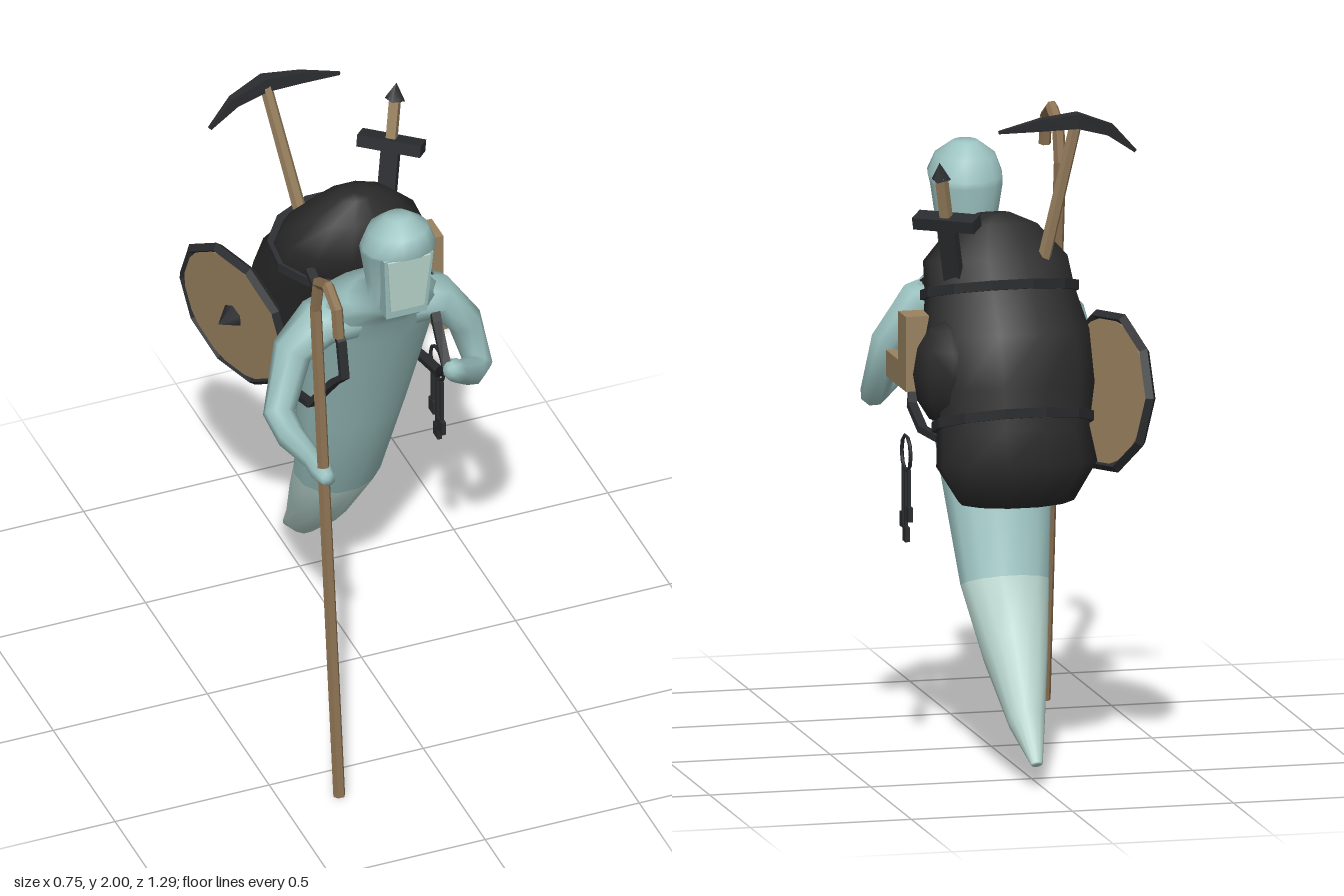
import * as THREE from 'three';

const mat = (name, color) => {
  const m = new THREE.MeshStandardMaterial({ color });
  m.name = name;
  return m;
};
const V = (x, y, z) => new THREE.Vector3(x, y, z);
const CX = 0.018; // centre line of body and pack

// Skin a list of rings {c, u, v} with n sides and closed ends.
function loft(rings, n, flat = false, phase = 0) {
  const pos = [], idx = [];
  for (const { c, u, v } of rings) {
    for (let j = 0; j < n; j++) {
      const a = (j / n) * Math.PI * 2 + phase;
      const p = c.clone().addScaledVector(u, Math.cos(a)).addScaledVector(v, Math.sin(a));
      pos.push(p.x, p.y, p.z);
    }
  }
  const last = rings.length - 1, lo = rings.length * n, hi = lo + 1;
  pos.push(...rings[0].c.toArray(), ...rings[last].c.toArray());
  for (let j = 0; j < n; j++) idx.push(lo, (j + 1) % n, j);
  for (let i = 0; i < last; i++) {
    for (let j = 0; j < n; j++) {
      const a = i * n + j, b = i * n + ((j + 1) % n);
      idx.push(a, b, b + n, a, b + n, a + n);
    }
  }
  for (let j = 0; j < n; j++) idx.push(hi, last * n + j, last * n + ((j + 1) % n));
  let g = new THREE.BufferGeometry();
  g.setAttribute('position', new THREE.Float32BufferAttribute(pos, 3));
  g.setIndex(idx);
  if (flat) g = g.toNonIndexed();
  g.computeVertexNormals();
  return g;
}

// Ring given by its front point, back point and half width.
const section = ([fz, fy, bz, by, rx], grow = 0, lift = 0) => {
  const v = V(0, (by - fy) / 2, (bz - fz) / 2);
  v.setLength(v.length() + grow);
  return { c: V(CX, (fy + by) / 2 + lift, (fz + bz) / 2), u: V(rx + grow, 0, 0), v };
};

// Sweep along points; each point is [x, y, z, halfWidth, halfThickness].
function sweep(pts, n, ref, flat = false, phase = 0) {
  let u = ref.clone();
  const p = pts.map(q => V(q[0], q[1], q[2]));
  const rings = pts.map((q, i) => {
    const t = V(0, 0, 0);
    if (i > 0) t.add(p[i].clone().sub(p[i - 1]).normalize());
    if (i < p.length - 1) t.add(p[i + 1].clone().sub(p[i]).normalize());
    t.normalize();
    u = u.clone().addScaledVector(t, -u.dot(t)).normalize();
    const w = t.clone().cross(u);
    return { c: p[i], u: u.clone().multiplyScalar(q[3]), v: w.multiplyScalar(q[4] ?? q[3]) };
  });
  return loft(rings, n, flat, phase);
}

export function createModel() {
  const root = new THREE.Group();
  const skin = mat('teal', 0x9cc3c1), pale = mat('paleTeal', 0xbbd8d0);
  const cloth = mat('packCloth', 0x2a2a2a), metal = mat('darkMetal', 0x2b2c2f);
  const wood = mat('wood', 0x9a8260), staffWood = mat('staffWood', 0x8c7252);
  const add = (name, geo, m, parent = root) => {
    const mesh = new THREE.Mesh(geo, m);
    mesh.name = name;
    parent.add(mesh);
    return mesh;
  };
  const box = (w, h, d, x = 0, y = 0, z = 0) => new THREE.BoxGeometry(w, h, d).translate(x, y, z);

  // Body from tail tip to crown, with a pale tail
  const N = 14;
  const body = loft([
    [-0.625, 0.06, -0.645, 0.08, 0.018], [-0.48, 0.13, -0.545, 0.225, 0.056],
    [-0.31, 0.285, -0.435, 0.44, 0.1], [-0.15, 0.51, -0.33, 0.59, 0.138],
    [-0.02, 0.84, -0.25, 0.89, 0.172], [0.06, 1.05, -0.17, 1.12, 0.19],
    [0.15, 1.27, -0.08, 1.34, 0.2], [0.19, 1.365, -0.01, 1.45, 0.205],
    [0.23, 1.425, 0.07, 1.485, 0.125], [0.3, 1.49, 0.15, 1.53, 0.084],
    [0.32, 1.58, 0.145, 1.6, 0.098], [0.33, 1.7, 0.135, 1.68, 0.113],
    [0.372, 1.73, 0.135, 1.7, 0.115], [0.34, 1.78, 0.16, 1.765, 0.093],
    [0.285, 1.815, 0.21, 1.81, 0.04],
  ].map(s => section(s)), N);
  const tailCount = 3 * N + 3 * 6 * N;
  body.addGroup(0, tailCount, 1);
  body.addGroup(tailCount, body.index.count - tailCount, 0);
  add('body', body, [skin, pale]);

  // Face plate set in a hood rim beneath the brow
  const plate = (top, bottom, y0, y1, depth) => new THREE.ExtrudeGeometry(new THREE.Shape([
    new THREE.Vector2(-bottom, y0), new THREE.Vector2(bottom, y0),
    new THREE.Vector2(top, y1), new THREE.Vector2(-top, y1),
  ]), { depth, bevelEnabled: false });
  const face = new THREE.Group();
  face.name = 'face';
  face.position.set(CX, 1.62, 0.331);
  face.rotation.x = 0.08;
  root.add(face);
  add('hoodRim', plate(0.08, 0.066, -0.13, 0.098, 0.065).translate(0, 0, -0.065), skin, face);
  add('facePlate', plate(0.07, 0.054, -0.1, 0.094, 0.006), pale, face);

  // Arms
  add('rightArm', sweep([
    [-0.07, 1.375, 0.085, 0.095, 0.085], [-0.175, 1.355, 0.085, 0.088, 0.07],
    [-0.265, 1.285, 0.1, 0.066, 0.06], [-0.333, 1.115, 0.165, 0.05],
    [-0.33, 1.085, 0.26, 0.044], [-0.325, 1.11, 0.43, 0.031],
    [-0.325, 1.115, 0.49, 0.036], [-0.325, 1.12, 0.545, 0.022],
  ], 8, V(0, 0, 1)), skin);
  add('leftArm', sweep([
    [0.1, 1.375, 0.085, 0.095, 0.085], [0.21, 1.355, 0.085, 0.085, 0.068],
    [0.298, 1.24, 0.09, 0.06, 0.054], [0.335, 1.08, 0.11, 0.044], [0.285, 1.11, 0.175, 0.046],
    [0.215, 1.175, 0.25, 0.034], [0.19, 1.205, 0.27, 0.036], [0.17, 1.22, 0.285, 0.022],
  ], 8, V(0, 0, 1)), skin);

  // Backpack with a bulging left side, and the bands tied around it
  add('backpack', loft([
    [-0.285, 0.835, -0.475, 0.825, 0.18], [-0.225, 0.92, -0.55, 0.97, 0.248],
    [-0.19, 1.02, -0.495, 1.07, 0.235], [-0.14, 1.15, -0.505, 1.2, 0.255],
    [-0.065, 1.3, -0.445, 1.35, 0.255], [-0.02, 1.39, -0.33, 1.48, 0.23],
    [0.03, 1.5, -0.275, 1.55, 0.222], [-0.01, 1.6, -0.185, 1.64, 0.135],
    [-0.06, 1.655, -0.14, 1.665, 0.05],
  ].map(s => section(s)), 12, false, Math.PI / 12), cloth);
  add('sideBulge', new THREE.SphereGeometry(1, 8, 6).scale(0.1, 0.16, 0.11).translate(0.222, 1.22, -0.315), cloth);
  for (const s of [[-0.02, 1.39, -0.335, 1.485, 0.232], [-0.185, 1.01, -0.49, 1.12, 0.238]]) {
    add('packBand', loft([section(s, 0.012, -0.015), section(s, 0.012, 0.015)], 12, true, Math.PI / 12), metal);
  }

  // Shoulder straps; the left one swings further out from the chest
  for (const [s, z1, z2, z3] of [[1, 0.185, 0.265, 0.21], [-1, 0.17, 0.195, 0.15]]) {
    add('shoulderStrap', sweep([
      [0.17, 1.46, -0.04], [0.17, 1.415, 0.08], [0.152, 1.33, z1], [0.152, 1.215, z2],
      [0.165, 1.17, z3], [0.21, 1.045, 0.07], [0.215, 1.0, -0.08], [0.18, 0.99, -0.26],
    ].map(([x, y, z]) => [CX + s * x, y, z, 0.02, 0.014]), 4, V(1, 0, 0), true, Math.PI / 4), metal);
  }

  // Walking staff with a crook
  add('staff', sweep([
    [0, 0.63], [1.69, 0.44], [1.8, 0.462], [1.84, 0.54], [1.8, 0.612], [1.71, 0.627],
  ].map(([y, z]) => [-0.325, y, z, 0.019]), 6, V(1, 0, 0), true), staffWood);

  // Round shield on the right side
  const shield = new THREE.Group();
  shield.name = 'shield';
  shield.position.set(-0.28, 1.14, -0.32);
  shield.quaternion.setFromUnitVectors(V(0, 0, 1), V(-0.94, -0.1, 0.33).normalize());
  root.add(shield);
  add('shieldBoard', new THREE.CylinderGeometry(0.23, 0.23, 0.022, 10).rotateX(Math.PI / 2), wood, shield);
  add('shieldRim', new THREE.TorusGeometry(0.234, 0.018, 4, 10).toNonIndexed(), metal, shield)
    .geometry.computeVertexNormals();
  add('shieldSpike', new THREE.ConeGeometry(0.04, 0.06, 6).rotateX(Math.PI / 2).translate(0, 0, 0.04), metal, shield);

  // Bent wooden block on the left side
  add('blockUpright', box(0.085, 0.23, 0.095, 0.283, 1.267, -0.195), wood);
  add('blockFoot', box(0.085, 0.08, 0.152, 0.283, 1.192, -0.072), wood);

  // Sheathed sword standing in the pack
  const sword = new THREE.Group();
  sword.name = 'sword';
  const axis = V(0.06, 0.36, -0.07).normalize();
  const side = V(0.19, 0, 0.15).cross(axis).normalize();
  sword.quaternion.setFromRotationMatrix(
    new THREE.Matrix4().makeBasis(axis.clone().cross(side), axis, side));
  sword.position.set(0.207, 1.675, -0.275);
  root.add(sword);
  add('scabbard', box(0.055, 0.24, 0.03, 0, -0.12, 0), metal, sword);
  add('guard', box(0.2, 0.038, 0.06), metal, sword);
  add('grip', box(0.03, 0.14, 0.03, 0, 0.08, 0), wood, sword);
  add('pommel', new THREE.ConeGeometry(0.032, 0.055, 4).translate(0, 0.17, 0), metal, sword);

  // Pickaxe standing in the pack
  add('pickHandle', sweep([[-0.1, 1.5, -0.22, 0.021], [-0.187, 1.985, -0.32, 0.019]], 6, V(1, 0, 0), true), wood);
  add('pickHead', sweep([
    [-0.372, 1.87, -0.3, 0.007], [-0.29, 1.942, -0.31, 0.016, 0.026], [-0.187, 1.977, -0.32, 0.028, 0.032],
    [-0.07, 1.968, -0.32, 0.016, 0.026], [0.056, 1.95, -0.315, 0.006],
  ], 4, V(0, 0, 1), true, Math.PI / 4), metal);

  // Key ring hanging at the left hip
  const keys = new THREE.Group();
  keys.name = 'keyRing';
  keys.position.set(0.293, 0.937, -0.117);
  root.add(keys);
  add('ring', new THREE.TorusGeometry(0.055, 0.006, 4, 10).rotateY(Math.PI / 2), metal, keys);
  for (const [z, end] of [[0.035, -0.21], [0.002, -0.248], [-0.035, -0.18]]) {
    const top = -0.045;
    add('keyStem', box(0.01, top - end, 0.012, 0, (top + end) / 2, z), metal, keys);
    add('keyBit', box(0.014, 0.045, 0.038, 0, end, z), metal, keys);
  }
  return root;
}
